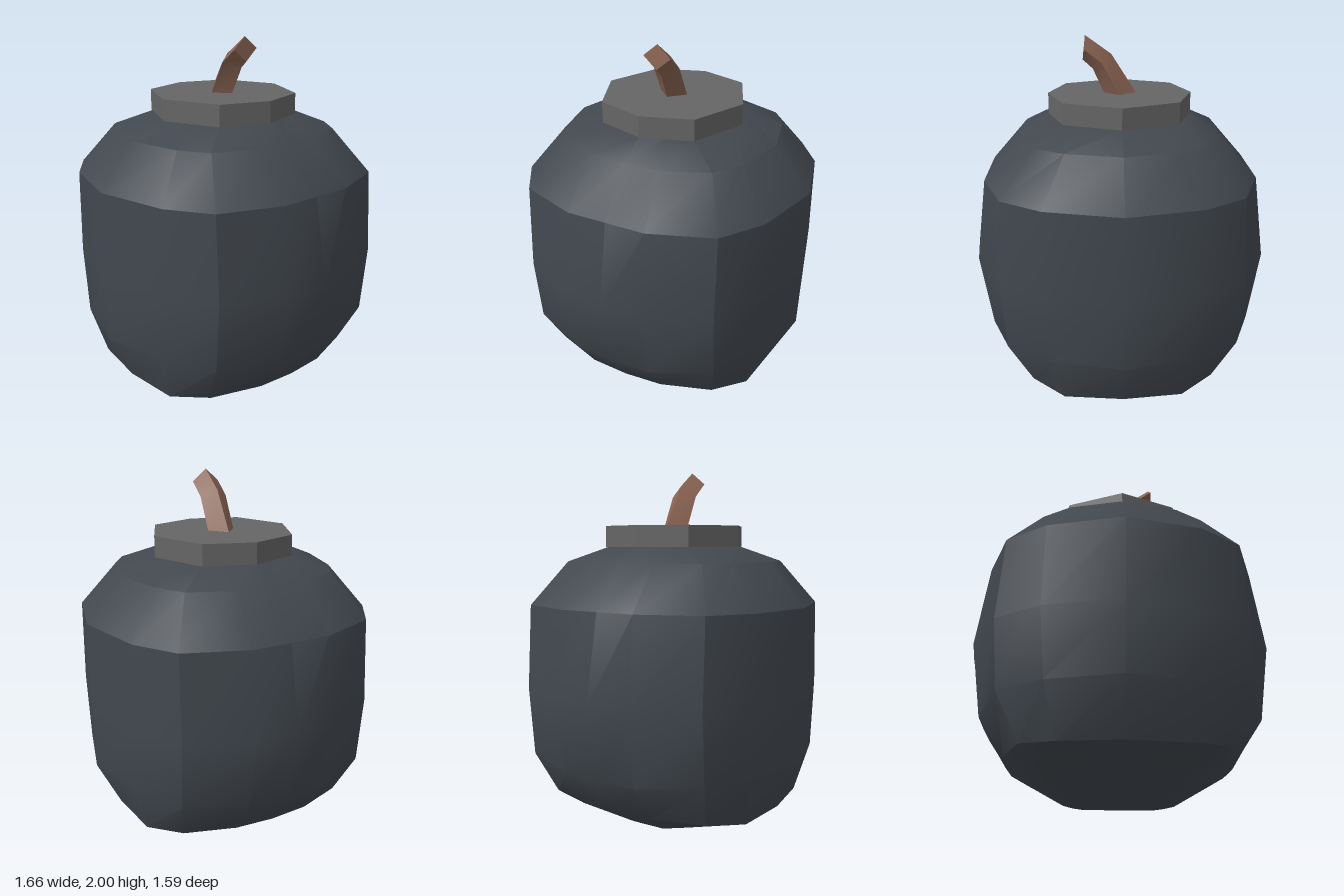
import * as THREE from 'three';
import { toCreasedNormals } from 'three/addons/utils/BufferGeometryUtils.js';

const mat = (name, color) => new THREE.MeshStandardMaterial({ name, color });

// Closed loft through rings of [x, y, z] points, running from +z towards +x, bottom to top
function loft(rings, crease = 0.53) {
  const pos = [];
  const tri = (a, b, c) => pos.push(...a, ...b, ...c);
  const n = rings[0].length;
  const centre = ring => [0, 1, 2].map(k => ring.reduce((s, p) => s + p[k], 0) / n);
  const first = rings[0], last = rings[rings.length - 1];
  const bottom = centre(first), top = centre(last);
  for (let j = 0; j < n; j++) {
    const k = (j + 1) % n;
    for (let i = 0; i < rings.length - 1; i++) {
      const lo = rings[i], hi = rings[i + 1];
      tri(lo[j], lo[k], hi[k]);
      tri(lo[j], hi[k], hi[j]);
    }
    tri(bottom, first[k], first[j]);
    tri(top, last[j], last[k]);
  }
  const g = new THREE.BufferGeometry();
  g.setAttribute('position', new THREE.Float32BufferAttribute(pos, 3));
  return toCreasedNormals(g, crease);
}

// Mirrors a quarter outline (front centre to side centre) into a full ring
function mirrorRing(quarter) {
  const half = [...quarter, ...quarter.slice(0, -1).reverse().map(([x, y, z]) => [x, y, -z])];
  return [...half, ...half.slice(1, -1).reverse().map(([x, y, z]) => [-x, y, z])];
}

export function createModel() {
  const group = new THREE.Group();
  const add = (name, geometry, material) => {
    const mesh = new THREE.Mesh(geometry, material);
    mesh.name = name;
    group.add(mesh);
  };

  // Rounded, faceted body: quarter outlines from bottom to top
  const quarters = [
    [[0, 0, 0.22], [0.2, 0, 0.21], [0.25, 0, 0.17], [0.3, 0, 0.1], [0.3, 0, 0]],
    [[0, 0.15, 0.665], [0.32, 0.15, 0.63], [0.5, 0.175, 0.49], [0.6, 0.185, 0.22], [0.61, 0.18, 0]],
    [[0, 0.42, 0.795], [0.38, 0.42, 0.7], [0.62, 0.42, 0.55], [0.74, 0.39, 0.22], [0.74, 0.385, 0]],
    [[0, 0.8, 0.795], [0.41, 0.8, 0.705], [0.65, 0.8, 0.555], [0.8, 0.8, 0.23], [0.83, 0.8, 0]],
    [[0, 1.26, 0.795], [0.4, 1.26, 0.7], [0.62, 1.26, 0.55], [0.74, 1.26, 0.22], [0.74, 1.26, 0]],
    [[0, 1.495, 0.595], [0.29, 1.495, 0.525], [0.44, 1.495, 0.43], [0.535, 1.495, 0.2], [0.535, 1.495, 0]],
    [[0, 1.58, 0.39], [0.19, 1.58, 0.305], [0.28, 1.58, 0.25], [0.34, 1.58, 0.13], [0.385, 1.58, 0]],
  ];
  add('body', loft(quarters.map(mirrorRing)), mat('darkSlate', 0x42484f));

  // Octagonal collar
  const collar = y => mirrorRing([[0, y, 0.4], [0.305, y, 0.268], [0.393, y, 0]]);
  add('collar', loft([collar(1.575), collar(1.69)]), mat('grey', 0x656565));

  // Bent fuse with a diamond section: [middle, right, left] points in x and y
  const fuse = [
    [[0, 1.68], [0.082, 1.68], [-0.096, 1.68]],
    [[0.095, 1.86], [0.145, 1.82], [0.045, 1.9]],
    [[0.193, 1.935], [0.2, 1.87], [0.186, 2]],
  ].map(([m, r, l]) => [[...m, 0.078], [...r, 0], [...m, -0.078], [...l, 0]]);
  add('fuse', loft(fuse), mat('brown', 0x8a6452));

  return group;
}
